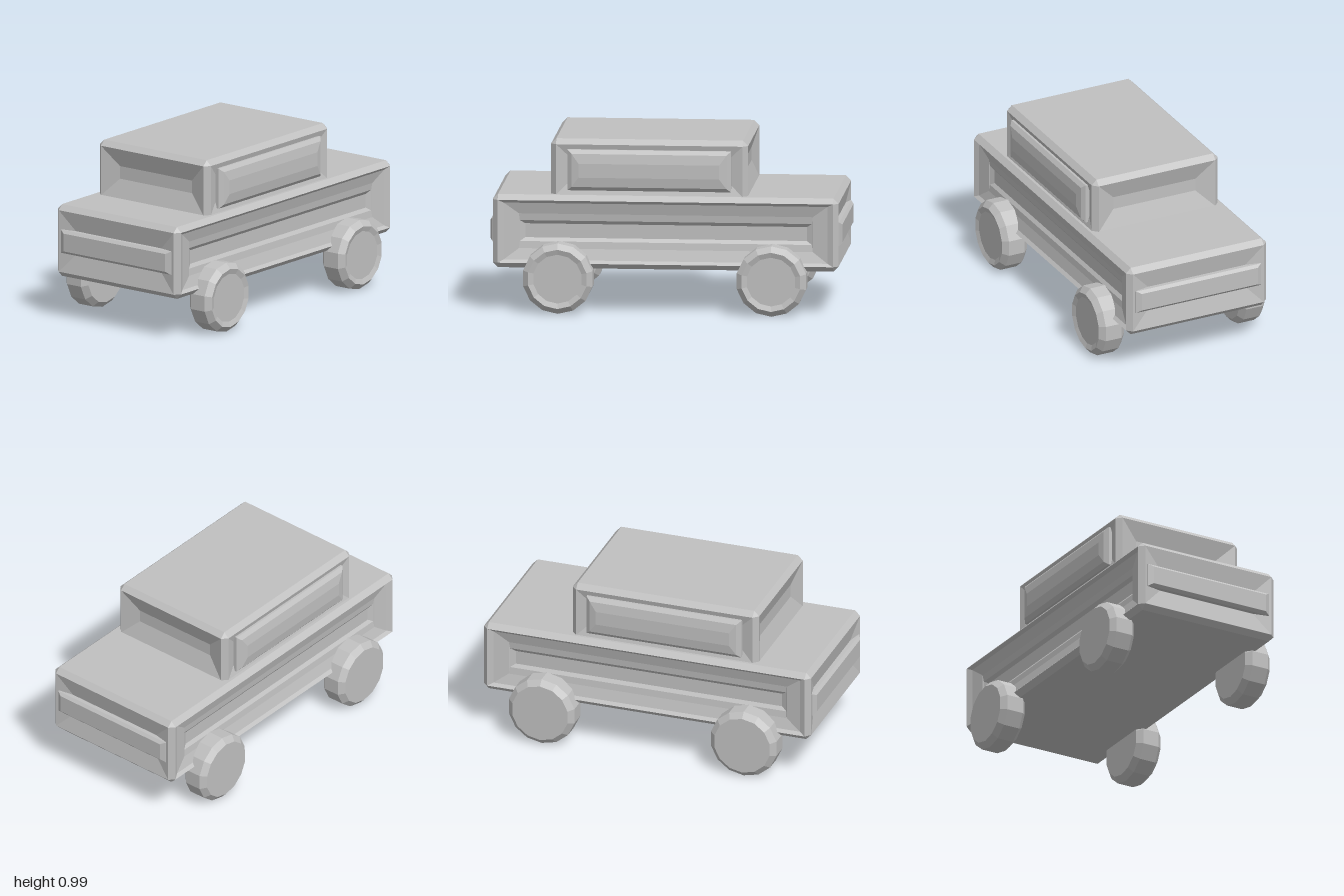
import * as THREE from 'three';

const grey = new THREE.MeshStandardMaterial({ color: 0xc0c0c0, flatShading: true });
grey.name = 'plain grey';

// Joins a stack of equal-length point loops with flat quads, skipping collapsed triangles
function loft(loops, { capStart = false, capEnd = false, skip = () => false } = {}) {
  const pos = [];
  const tri = (a, b, c) => {
    const area = b.clone().sub(a).cross(c.clone().sub(a)).length();
    if (area > 1e-7) [a, b, c].forEach((p) => pos.push(p.x, p.y, p.z));
  };
  for (let l = 0; l < loops.length - 1; l++) {
    const a = loops[l], b = loops[l + 1], n = a.length;
    for (let i = 0; i < n; i++) {
      if (skip(l, i)) continue;
      const j = (i + 1) % n;
      tri(a[i], a[j], b[j]);
      tri(a[i], b[j], b[i]);
    }
  }
  const cap = (loop, flip) => {
    for (let i = 1; i < loop.length - 1; i++) {
      if (flip) tri(loop[0], loop[i + 1], loop[i]);
      else tri(loop[0], loop[i], loop[i + 1]);
    }
  };
  if (capStart) cap(loops[0], true);
  if (capEnd) cap(loops[loops.length - 1], false);
  const g = new THREE.BufferGeometry();
  g.setAttribute('position', new THREE.Float32BufferAttribute(pos, 3));
  g.computeVertexNormals();
  return g;
}

function mesh(name, geometry) {
  const m = new THREE.Mesh(geometry, grey);
  m.name = name;
  return m;
}

// Nested rectangles [halfWidth, halfHeight, depth] facing +z
function panel(rings) {
  return loft(rings.map(([u, v, d]) => [[-u, -v], [u, -v], [u, v], [-u, v]]
    .map(([x, y]) => new THREE.Vector3(x, y, d))), { capEnd: true });
}

// Box with chamfered edges, leaving its four side walls open for panels
function chamferFrame(hx, hy, hz, b) {
  const loop = (y, rim) => {
    const x = hx - b, z = hz - b, e = rim ? b : 0;
    return [[-x, z + e], [x, z + e], [x + e, z], [x + e, -z],
      [x, -z - e], [-x, -z - e], [-x - e, -z], [-x - e, z]]
      .map(([px, pz]) => new THREE.Vector3(px, y, pz));
  };
  return loft([loop(-hy, false), loop(-hy + b, true), loop(hy - b, true), loop(hy, false)],
    { capStart: true, capEnd: true, skip: (l, i) => l === 1 && i % 2 === 0 });
}

// Chamfered shell with matching sunken panels on opposite walls
function shell(name, hx, hy, hz, b, sideRings, endRings) {
  const g = new THREE.Group();
  g.name = name;
  g.add(mesh(name + 'Frame', chamferFrame(hx, hy, hz, b)));
  for (let i = 0; i < 4; i++) {
    const side = i % 2 === 0;
    const p = mesh(name + (side ? 'SidePanel' : 'EndPanel'), panel(side ? sideRings : endRings));
    p.rotation.y = i * Math.PI / 2;
    g.add(p);
  }
  return g;
}

export function createModel() {
  const model = new THREE.Group();
  model.name = 'car';

  // Lower body: stepped grooves along the sides, shallow dished ends
  const body = shell('body', 0.983, 0.21, 0.445, 0.03,
    [[0.953, 0.18, 0.445], [0.92, 0.163, 0.428], [0.835, 0.10, 0.41],
      [0.83, 0.06, 0.405], [0.80, 0.04, 0.39]],
    [[0.415, 0.18, 0.983], [0.28, 0.04, 0.955]]);
  body.position.y = 0.46;
  model.add(body);

  // Cabin
  const cabin = shell('cabin', 0.56, 0.175, 0.4, 0.03,
    [[0.53, 0.145, 0.4], [0.42, 0.037, 0.37]],
    [[0.37, 0.145, 0.56], [0.26, 0.037, 0.525]]);
  cabin.position.set(-0.095, 0.812, 0);
  model.add(cabin);

  for (const s of [1, -1]) {
    // Side window, softly bulging
    const window = mesh('sideWindow', panel([[0.465, 0.117, 0.36], [0.465, 0.117, 0.405],
      [0.44, 0.095, 0.424], [0.40, 0.04, 0.433]]));
    window.position.set(-0.095, 0.812, 0);
    window.rotation.y = s > 0 ? 0 : Math.PI;
    model.add(window);

    // Bumper bar
    const bumper = mesh('bumper', panel([[0.397, 0.068, 0.93], [0.397, 0.068, 0.985],
      [0.368, 0.052, 1.0]]));
    bumper.position.y = 0.462;
    bumper.rotation.y = s * Math.PI / 2;
    model.add(bumper);

    // Wheels with chamfered rims; the front side has a shallow dish
    for (const z of [1, -1]) {
      const profile = [[0, -0.08], [0.17, -0.08], [0.202, -0.05], [0.202, 0.05], [0.17, 0.08],
        ...(z > 0 ? [[0.14, 0.07], [0, 0.07]] : [[0, 0.08]])];
      const geo = new THREE.LatheGeometry(profile.map(([r, y]) => new THREE.Vector2(r, y)), 14);
      geo.rotateX(Math.PI / 2);
      const wheel = mesh('wheel', geo);
      wheel.position.set(s * 0.607, 0.202, z * 0.447);
      model.add(wheel);
    }
  }
  return model;
}
